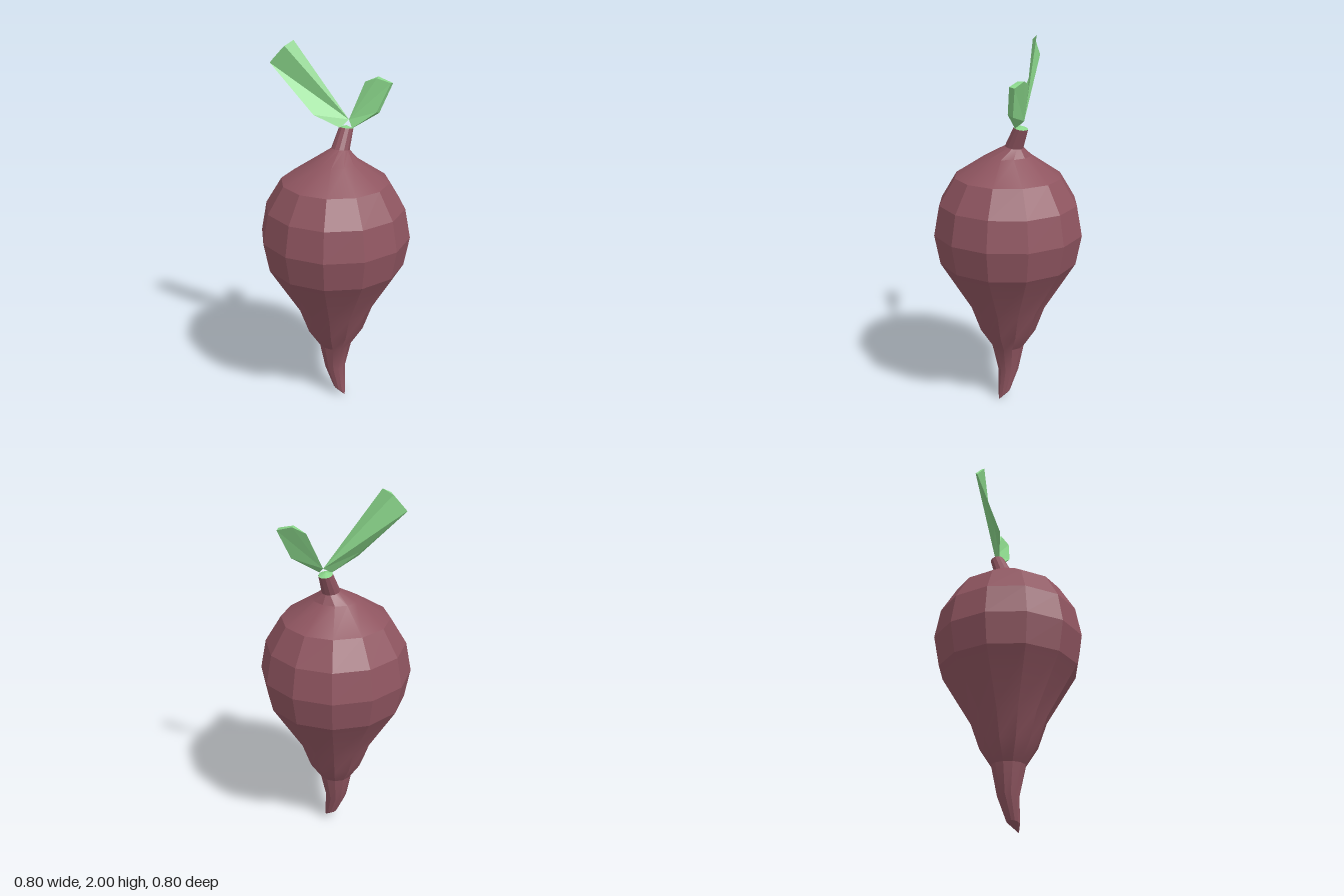
import * as THREE from 'three';
import { toCreasedNormals } from 'three/addons/utils/BufferGeometryUtils.js';

const SIDES = 12;

// A ring of points; slopes tilt it along x and z
function ring([y, r, cx = 0, cz = 0, slopeX = 0, slopeZ = 0]) {
  return Array.from({ length: SIDES }, (_, i) => {
    const t = (i / SIDES) * Math.PI * 2;
    const dx = r * Math.sin(t), dz = r * Math.cos(t);
    return [cx + dx, y + dx * slopeX + dz * slopeZ, cz + dz];
  });
}

function geometryFrom(triangles) {
  const geometry = new THREE.BufferGeometry();
  geometry.setAttribute('position', new THREE.Float32BufferAttribute(triangles.flat(2), 3));
  geometry.computeVertexNormals();
  return geometry;
}

// Closed blade: front outline (counter-clockwise) and a matching back outline
function leafGeometry(front, back) {
  const triangles = [];
  const n = front.length;
  for (let i = 1; i < n - 1; i++) {
    triangles.push([front[0], front[i], front[i + 1]]);
    triangles.push([back[0], back[i + 1], back[i]]);
  }
  for (let i = 0; i < n; i++) {
    const j = (i + 1) % n;
    if (front[i] !== back[i]) triangles.push([front[i], back[i], back[j]]);
    if (front[j] !== back[j]) triangles.push([front[i], back[j], front[j]]);
  }
  return geometryFrom(triangles);
}

export function createModel() {
  const model = new THREE.Group();
  const rootMaterial = new THREE.MeshStandardMaterial({ color: 0x8f5560 });
  const leafMaterial = new THREE.MeshStandardMaterial({
    color: 0x8ad68a, flatShading: true, side: THREE.DoubleSide,
  });
  const add = (name, geometry, material) => {
    const mesh = new THREE.Mesh(geometry, material);
    mesh.name = name;
    model.add(mesh);
  };

  // Bulb with curled root tip and leaning stem: y, radius, x, z, slopes
  const rings = [
    [0.05, 0.034, 0.032, 0, -0.25],
    [0.18, 0.058, -0.002],
    [0.33, 0.09],
    [0.43, 0.155],
    [0.57, 0.205],
    [0.84, 0.37],
    [1.0, 0.4],
    [1.16, 0.37],
    [1.3, 0.285],
    [1.405, 0.125, 0, 0.003, 0, -0.04],
    [1.46, 0.048, 0, -0.045, 0, 0.15],
    [1.562, 0.037, 0, -0.093, 0, 0.2],
  ].map(ring);
  const tip = [0.07, 0.005, 0];
  const triangles = [];
  for (let j = 0; j < SIDES; j++) {
    const k = (j + 1) % SIDES;
    triangles.push([tip, rings[0][k], rings[0][j]]);
    for (let i = 0; i < rings.length - 1; i++) {
      const a = rings[i], b = rings[i + 1];
      triangles.push([a[j], a[k], b[k]], [a[j], b[k], b[j]]);
    }
  }
  add('bulb', toCreasedNormals(geometryFrom(triangles), 0.35), rootMaterial);

  // Green cap on the stem
  const rim = rings[rings.length - 1];
  const crown = [0, 1.575, -0.095];
  add('stemCap', geometryFrom(rim.map((p, j) => [p, rim[(j + 1) % SIDES], crown])), leafMaterial);

  // Long leaf, leaning right and forward
  const base = [0, 1.6, -0.115];
  const longFoot = [-0.015, 1.565, -0.06], longTop = [-0.24, 2, 0.032];
  add('longLeaf', leafGeometry(
    [base, longTop, [-0.26, 1.975, 0.08], [-0.335, 1.885, 0.108], [-0.105, 1.64, 0.045], longFoot],
    [base, longTop, [-0.277, 1.965, 0.073], [-0.34, 1.89, 0.1], [-0.13, 1.67, 0.025], longFoot],
  ), leafMaterial);

  // Short leaf, leaning left and backward
  const shortFoot = [0.04, 1.565, -0.09], shortEdge = [0.045, 1.79, -0.19];
  add('shortLeaf', leafGeometry(
    [base, shortFoot, [0.15, 1.655, -0.15], [0.195, 1.8, -0.205], [0.12, 1.818, -0.187], shortEdge],
    [base, shortFoot, [0.145, 1.645, -0.18], [0.188, 1.795, -0.235], [0.107, 1.82, -0.22], shortEdge],
  ), leafMaterial);

  return model;
}
